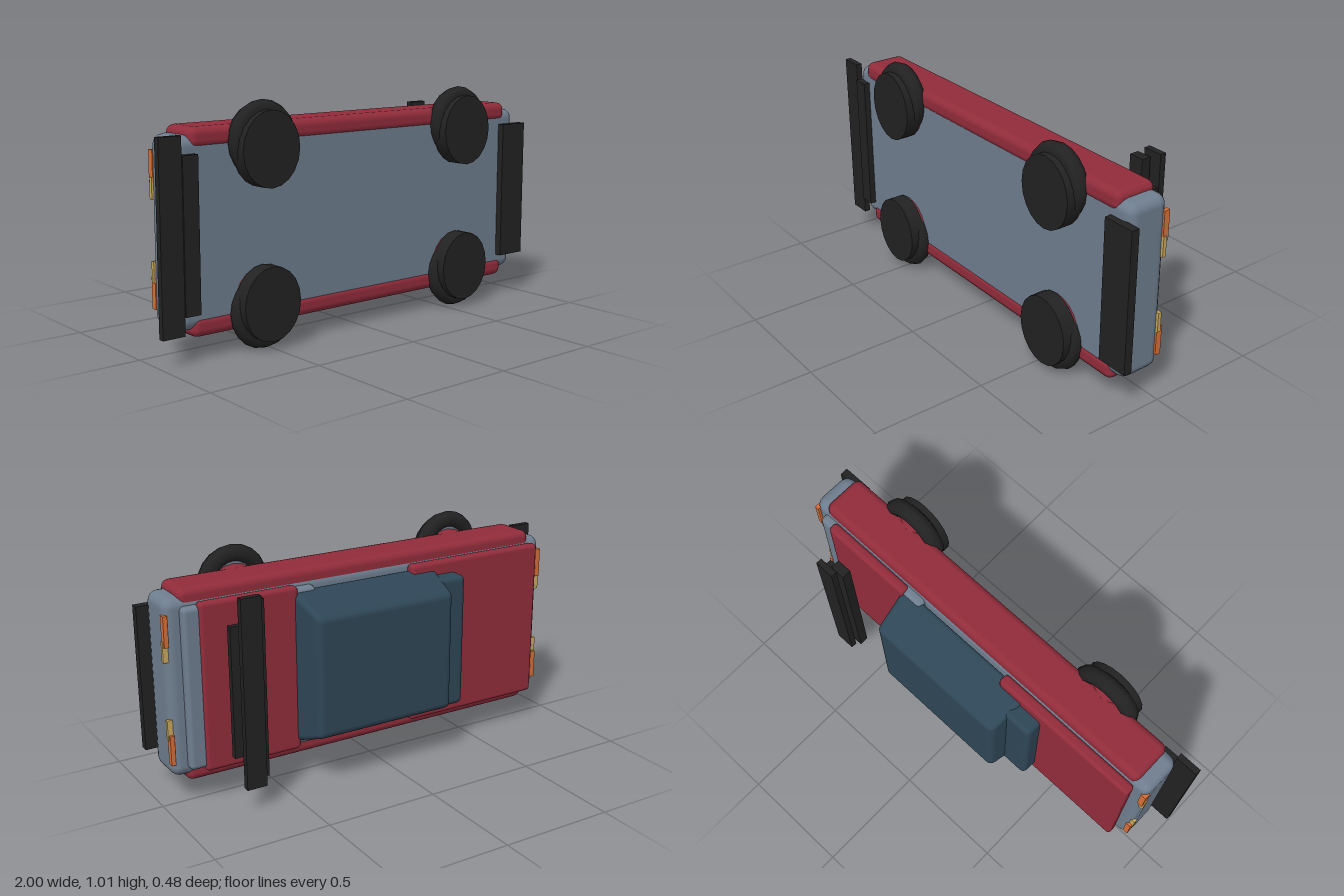
import * as THREE from 'three';
import { RoundedBoxGeometry } from 'three/addons/geometries/RoundedBoxGeometry.js';

const MID = 0.512; // mirror plane across the car's width (the car rests on its side)

function mat(name, color) {
  const m = new THREE.MeshStandardMaterial({ color });
  m.name = name;
  return m;
}

export function createModel() {
  const car = new THREE.Group();
  car.name = 'car';
  const grey = mat('slate grey', 0x6f7e8f);
  const red = mat('deep red', 0x922c3b);
  const blue = mat('dark blue glass', 0x2e4656);
  const black = mat('black', 0x222222);
  const orange = mat('orange', 0xd9703a);
  const yellow = mat('pale yellow', 0xcbaa5f);

  function add(name, geo, material, x, y, z) {
    const m = new THREE.Mesh(geo, material);
    m.name = name;
    m.position.set(x, y, z);
    car.add(m);
    return m;
  }
  // Box from its limits, optionally with rounded edges
  function box(name, material, [x0, x1], [y0, y1], [z0, z1], r = 0) {
    const s = [x1 - x0, y1 - y0, z1 - z0];
    const geo = r ? new RoundedBoxGeometry(...s, 2, r) : new THREE.BoxGeometry(...s);
    return add(name, geo, material, (x0 + x1) / 2, (y0 + y1) / 2, (z0 + z1) / 2);
  }

  // Chassis and raised deck at the spoiler end
  box('chassis', grey, [-0.915, 0.96], [0.13, 0.894], [-0.035, 0.16], 0.045);
  box('rearDeck', grey, [0.3, 0.895], [0.165, 0.858], [-0.07, 0.02], 0.02);

  // Red bonnet and boot panels
  box('bonnet', red, [-0.855, -0.165], [0.15, 0.873], [-0.086, -0.034], 0.018);
  box('bootLid', red, [0.39, 0.83], [0.15, 0.873], [-0.082, -0.034], 0.018);

  // Cabin narrowing towards the roof (-z)
  const cabin = new RoundedBoxGeometry(0.71, 0.68, 0.2, 2, 0.025);
  const p = cabin.attributes.position;
  for (let i = 0; i < p.count; i++) {
    const t = (0.1 - p.getZ(i)) / 0.2;
    p.setX(i, p.getX(i) * (1 - 0.07 * t));
    p.setY(i, p.getY(i) * (1 - 0.23 * t));
  }
  cabin.computeVertexNormals();
  add('cabin', cabin, blue, 0.058, MID, -0.14);
  box('windscreenBlock', blue, [-0.4, -0.2], [0.21, 0.814], [-0.157, -0.05], 0.025);

  // Bumper plates
  box('frontBumper', black, [-1, -0.9], [0.125, 0.9], [0.155, 0.182]);
  box('frontBumperInner', black, [-0.9, -0.83], [0.2, 0.825], [0.155, 0.188]);
  box('rearBumper', black, [0.855, 1], [0.2, 0.825], [0.153, 0.19]);

  // Spoiler blades
  box('spoilerBase', black, [0.61, 0.68], [0.132, 0.892], [-0.203, -0.16]);
  box('spoilerLip', black, [0.67, 0.75], [0.232, 0.792], [-0.182, -0.156]);
  box('spoilerBlade', black, [0.638, 0.728], [0.107, 0.917], [-0.238, -0.21]);

  for (const side of [1, -1]) {
    const y = (v) => MID + side * (v - MID);
    const span = (a, b) => [y(a), y(b)].sort((m, n) => m - n);

    // Side panels
    box('sidePanel', red, [-0.85, 0.893], span(0.84, 0.925), [-0.03, 0.165], 0.032);

    // Lamps at both ends
    box('rearOrangeLamp', orange, [0.945, 0.964], span(0.7, 0.83), [-0.035, -0.008]);
    box('rearYellowLamp', yellow, [0.945, 0.968], span(0.635, 0.722), [-0.024, -0.008]);
    box('frontOrangeLamp', orange, [-0.915, -0.89], span(0.7, 0.83), [-0.035, -0.008]);
    box('frontYellowLamp', yellow, [-0.92, -0.89], span(0.635, 0.722), [-0.024, -0.008]);

    // Wheels: tyre ring, hub, red arch ring and covering disc
    for (const x of [-0.522, 0.565]) {
      add('tyre', new THREE.TorusGeometry(0.122, 0.038, 8, 20), black, x, y(0.857), 0.173);
      add('wheelArch', new THREE.TorusGeometry(0.08, 0.05, 8, 20), red, x, y(0.807), 0.158);
      const hub = add('hub', new THREE.CylinderGeometry(0.1, 0.1, 0.02, 20), grey, x, y(0.857), 0.168);
      hub.rotation.x = Math.PI / 2;
      const disc = add('wheelDisc', new THREE.CylinderGeometry(0.155, 0.155, 0.07, 20), black, x, y(0.824), 0.205);
      disc.rotation.x = Math.PI / 2;
      disc.scale.x = 0.89;
    }
  }
  return car;
}
